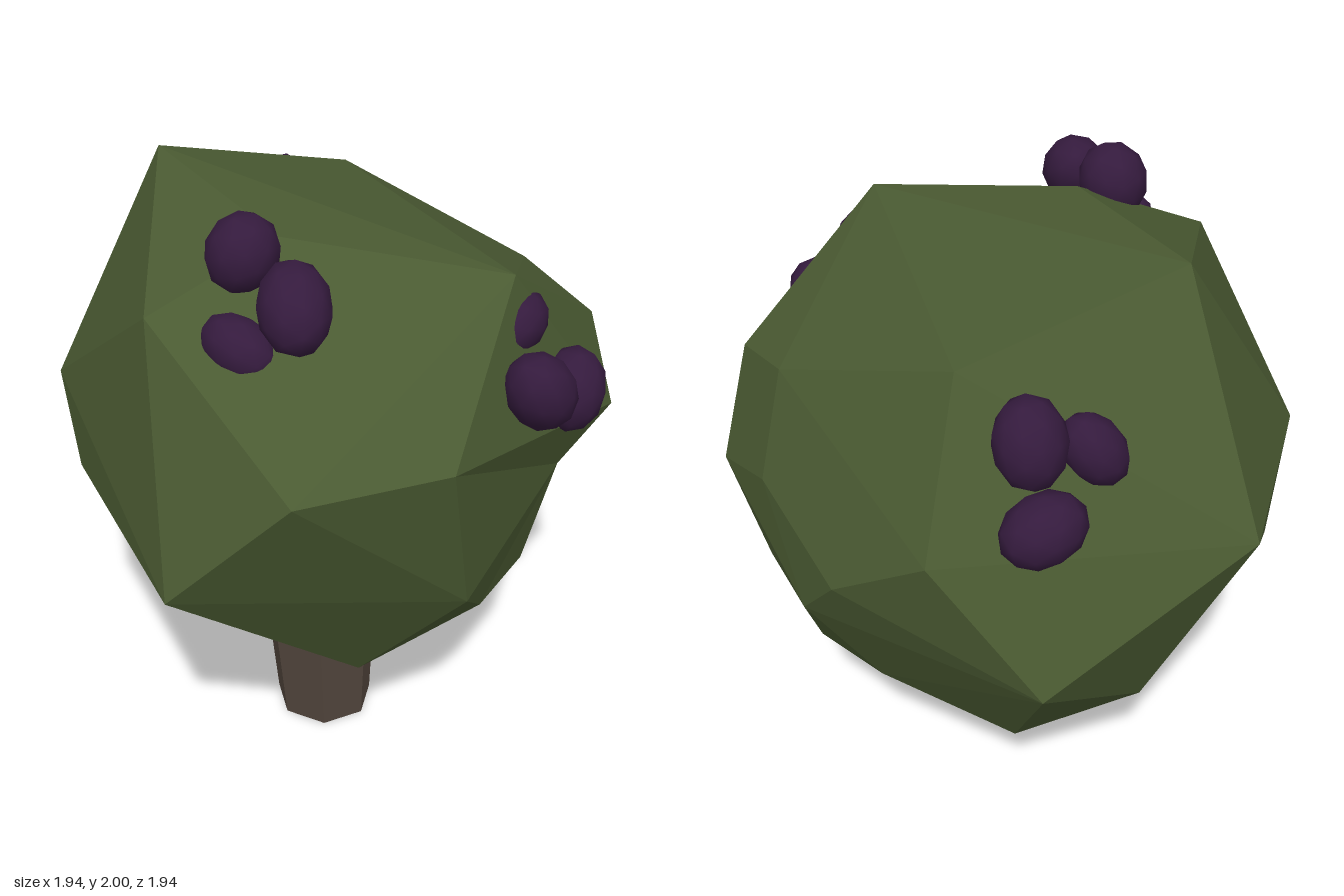
import * as THREE from 'three';
import { ConvexGeometry } from 'three/addons/geometries/ConvexGeometry.js';

const V = (p) => new THREE.Vector3(...p);
const UP = new THREE.Vector3(0, 1, 0);
const mat = (color, flatShading = true) => new THREE.MeshStandardMaterial({ color, flatShading });

export function createModel() {
  const tree = new THREE.Group();
  tree.name = 'fruitTree';
  const leafMat = mat(0x4a5a32), barkMat = mat(0x574a40), fruitMat = mat(0x351b3e, false);

  const add = (name, geometry, material, parent = tree) => {
    const mesh = new THREE.Mesh(geometry, material);
    mesh.name = name;
    parent.add(mesh);
    return mesh;
  };

  // Crown: one faceted hull around its corner points
  const corners = [
    // top
    [-0.56, 1.95, -0.03], [0.71, 1.81, -0.04], [0.08, 1.89, 0.25],
    [-0.23, 1.76, -0.66], [0.44, 1.53, -0.73], [-0.16, 1.71, 0.6],
    // upper sides
    [0.51, 1.43, 0.86], [0.81, 1.44, 0.49], [0.74, 1.45, -0.62],
    [-0.69, 1.28, 0.39], [-0.97, 1.26, -0.2], [-0.34, 1.28, -0.92], [0.9, 1.23, -0.46],
    // waist
    [0.15, 1.04, 0.97], [-0.52, 1.04, 0.52], [-0.78, 1.0, 0.15], [-0.65, 0.86, -0.78],
    [0.01, 1.05, -0.97], [0.42, 1.2, -0.86], [0.72, 1.1, -0.77],
    [0.79, 0.88, 0.31], [0.2, 0.85, -0.93],
    // underside
    [0.61, 0.72, -0.72], [0.71, 0.65, 0.03], [0.71, 0.65, -0.28], [-0.66, 0.57, -0.32],
    [-0.53, 0.52, 0], [-0.22, 0.5, 0.41], [0.43, 0.4, -0.03], [0.43, 0.47, 0.33],
    [0.4, 0.47, -0.71], [0.09, 0.49, -0.73], [-0.36, 0.39, -0.58], [-0.03, 0.34, -0.2],
  ];
  // Hollow in the side: wrapped as a raised corner, then pressed in
  const raised = V([0.94, 1.07, -0.27]), pressed = [0.81, 1.07, -0.27];
  const crownGeo = new ConvexGeometry([...corners.map(V), raised]);
  const pos = crownGeo.attributes.position;
  for (let i = 0; i < pos.count; i++) {
    const p = new THREE.Vector3().fromBufferAttribute(pos, i);
    if (p.distanceTo(raised) < 1e-4) pos.setXYZ(i, ...pressed);
  }
  crownGeo.computeVertexNormals();
  add('crown', crownGeo, leafMat);

  // Trunk: flaring upward and leaning forward, its foot flat on the ground
  const trunkGeo = new THREE.CylinderGeometry(0.2, 0.17, 0.55, 7);
  trunkGeo.rotateY(-0.35).translate(0, 0.275, 0);
  trunkGeo.applyMatrix4(new THREE.Matrix4().makeShear(0, 0, 0.05, 0.15, 0, 0));
  const trunk = add('trunk', trunkGeo, barkMat);
  trunk.position.set(0.12, 0, 0.03);

  // Side branch reaching back into the crown
  const root = V([0.13, 0.25, -0.03]), along = V([0.1, 0.49, -0.66]).sub(root);
  const branch = add('branch', new THREE.CylinderGeometry(0.025, 0.09, along.length(), 6), barkMat);
  branch.position.copy(root).addScaledVector(along, 0.5);
  branch.quaternion.setFromUnitVectors(UP, along.normalize());

  // Fruit clusters: [centre, long axis, half length, half width]
  const clusters = {
    frontFruit: [
      [[0.04, 1.88, 0.38], [0.3, 1, -0.2], 0.125, 0.112],
      [[0.28, 1.81, 0.48], [0.5, -0.7, 0.6], 0.145, 0.11],
      [[0.13, 1.67, 0.54], [1, -0.3, 0.1], 0.13, 0.09],
    ],
    leftFruit: [
      [[0.86, 1.515, 0.06], [-0.15, 1, 0.75], 0.148, 0.108],
      [[0.865, 1.41, -0.18], [-0.1, 1, -0.4], 0.135, 0.105],
      [[0.71, 1.645, -0.07], [0, -0.1, 1], 0.13, 0.092],
    ],
    backFruit: [
      [[-0.47, 1.61, -0.62], [0.3, 1, 0.2], 0.14, 0.11],
      [[-0.56, 1.385, -0.67], [-0.5, 0.4, 0.9], 0.135, 0.107],
      [[-0.56, 1.54, -0.45], [0.5, 0.9, -0.4], 0.125, 0.09],
    ],
  };
  for (const [name, fruits] of Object.entries(clusters)) {
    const group = new THREE.Group();
    group.name = name;
    tree.add(group);
    fruits.forEach(([centre, axis, length, width], i) => {
      const fruit = add(`${name}${i + 1}`, new THREE.IcosahedronGeometry(1, 1), fruitMat, group);
      fruit.position.set(...centre);
      fruit.scale.set(width, length, width);
      fruit.quaternion.setFromUnitVectors(UP, V(axis).normalize());
    });
  }
  return tree;
}
